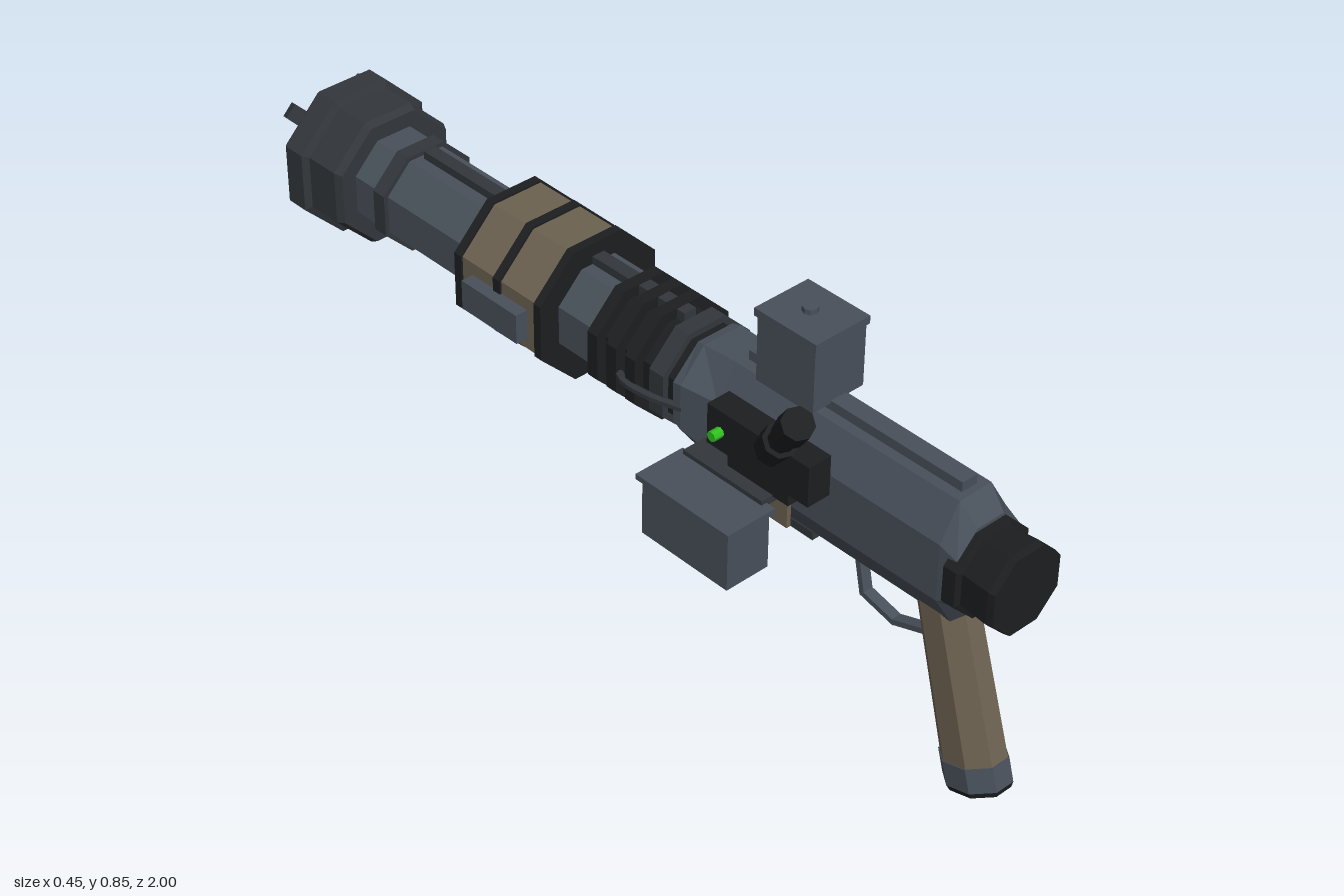
import * as THREE from 'three';

const CX = 0.047, CY = 0.56; // barrel axis
const STEEL = 0x48505a, DARK = 0x33373b, BLACK = 0x1d1e20, TAN = 0x6c6150, GREEN = 0x30c020;
const mats = {};
const mat = (c) => (mats[c] ??= new THREE.MeshStandardMaterial({ color: c, flatShading: true, side: THREE.DoubleSide }));

// Chamfered eight-sided cross-section: half width, bottom, top, chamfer in x and y
const sec = (z, hw, y0, y1, cx, cy) => [
  [hw, y0 + cy], [hw, y1 - cy], [hw - cx, y1], [cx - hw, y1],
  [-hw, y1 - cy], [-hw, y0 + cy], [cx - hw, y0], [hw - cx, y0],
].map(([x, y]) => [CX + x, y, z]);
// Regular octagon with flats up, a = distance from axis to flat
const oct = (z, a, y = CY) => sec(z, a, y - a, y + a, a * 0.586, a * 0.586);

// Skin a row of cross-sections and close both ends
function loft(sections) {
  const pos = sections.flat(2), idx = [], n = 8, last = (sections.length - 1) * n;
  for (let s = 0; s < sections.length - 1; s++)
    for (let i = 0; i < n; i++) {
      const a = s * n + i, b = s * n + (i + 1) % n;
      idx.push(a, b, b + n, a, b + n, a + n);
    }
  for (let i = 1; i < n - 1; i++) idx.push(0, i + 1, i, last, last + i, last + i + 1);
  const g = new THREE.BufferGeometry();
  g.setAttribute('position', new THREE.Float32BufferAttribute(pos, 3));
  g.setIndex(idx);
  const flat = g.toNonIndexed();
  flat.computeVertexNormals();
  return flat;
}

export function createModel() {
  const model = new THREE.Group();
  const add = (name, geo, color, parent = model) => {
    const m = new THREE.Mesh(geo, mat(color));
    m.name = name;
    parent.add(m);
    return m;
  };
  // Box from its low and high limits
  const box = (name, color, x0, x1, y0, y1, z0, z1, parent = model) => {
    const m = add(name, new THREE.BoxGeometry(x1 - x0, y1 - y0, z1 - z0), color, parent);
    m.position.set((x0 + x1) / 2, (y0 + y1) / 2, (z0 + z1) / 2);
    return m;
  };
  const prism = (name, color, z0, z1, a, y) => add(name, loft([oct(z0, a, y), oct(z1, a, y)]), color);

  // Receiver body, flaring into the barrel
  add('body', loft([
    oct(0.2, 0.108),
    sec(0.22, 0.108, 0.44, 0.672, 0.06, 0.065),
    sec(0.3, 0.088, 0.397, 0.674, 0.045, 0.075),
    sec(0.865, 0.086, 0.397, 0.674, 0.045, 0.075),
    sec(0.905, 0.082, 0.438, 0.632, 0.048, 0.05),
  ]), STEEL);
  box('bodyUnderPlate', DARK, 0, 0.094, 0.381, 0.4, 0.28, 0.52);
  box('bodyTopRail', STEEL, 0.028, 0.066, 0.67, 0.695, 0.31, 0.85);

  // Butt cap
  add('buttCap', loft([
    oct(0.88, 0.085, 0.53), oct(0.885, 0.095, 0.53), oct(0.915, 0.095, 0.53),
    oct(0.92, 0.083, 0.53), oct(0.985, 0.088, 0.53), oct(1, 0.085, 0.53),
  ]), BLACK);

  // Barrel with collars and cooling rings
  prism('barrel', STEEL, -0.78, 0, 0.104);
  prism('coolingCore', BLACK, -0.03, 0.21, 0.1);
  prism('rearCollar', DARK, 0.14, 0.178, 0.114);
  for (const z of [-0.012, 0.042, 0.095]) prism('coolingRing', BLACK, z - 0.014, z + 0.014, 0.123);
  prism('frontCollar', DARK, -0.697, -0.662, 0.114);
  box('barrelRail', DARK, 0.032, 0.062, 0.655, 0.682, -0.65, 0.13);

  // Handguard with bands and side blocks
  prism('handguard', TAN, -0.388, -0.136, 0.146);
  for (const z of [-0.382, -0.264, -0.142]) {
    const r = z === -0.264 ? [0.14, 0.151] : [0.138, 0.151];
    add('handguardBand', loft([
      oct(z - 0.01, r[0]), oct(z - 0.01, r[1]), oct(z + 0.01, r[1]), oct(z + 0.01, r[0]),
    ]), BLACK);
  }
  for (const s of [-1, 1]) {
    const x = CX + s * 0.157;
    box('handguardSideBlock', STEEL, x - 0.018, x + 0.018, 0.525, 0.592, -0.342, -0.177);
  }

  // Hollow muzzle with inner emitter and rim claws
  add('muzzle', loft([
    oct(-0.82, 0.07), oct(-0.87, 0.075), oct(-0.87, 0.1), oct(-0.938, 0.108),
    oct(-0.938, 0.152), oct(-0.928, 0.161), oct(-0.875, 0.161), oct(-0.868, 0.146),
    oct(-0.785, 0.146), oct(-0.768, 0.138), oct(-0.768, 0.1),
  ]), DARK);
  prism('innerEmitter', BLACK, -0.9, -0.8, 0.03);
  const clawShape = new THREE.Shape([[0.9, -0.03], [0.97, -0.03], [1, -0.008], [1, 0.008], [0.975, 0.022], [0.9, 0.026]]
    .map(([x, y]) => new THREE.Vector2(x, y)));
  const clawGeo = new THREE.ExtrudeGeometry(clawShape, { depth: 0.034, bevelEnabled: false });
  clawGeo.translate(0, 0, -0.017).rotateY(Math.PI / 2);
  for (let i = 0; i < 4; i++) {
    const pivot = new THREE.Group();
    pivot.name = 'muzzleClaw';
    pivot.position.set(CX, CY, 0);
    pivot.rotation.z = Math.PI / 4 + i * Math.PI / 2;
    add('claw', clawGeo, DARK, pivot).position.y = 0.132;
    model.add(pivot);
  }
  for (let i = 0; i < 4; i++) {
    const a = i * Math.PI / 2;
    const bolt = add('muzzleBolt', new THREE.CylinderGeometry(0.008, 0.008, 0.008, 8).rotateX(Math.PI / 2), STEEL);
    bolt.position.set(CX + Math.cos(a) * 0.132, CY + Math.sin(a) * 0.132, -0.94);
  }

  // Raked pistol grip
  const grip = new THREE.Group();
  grip.name = 'grip';
  grip.position.set(0.048, 0.02, 0.93);
  grip.rotation.x = -0.28;
  model.add(grip);
  const gripPart = (name, color, rTop, rBottom, y0, y1) => {
    const g = new THREE.CylinderGeometry(rTop, rBottom, y1 - y0, 8).rotateY(Math.PI / 8);
    const m = add(name, g, color, grip);
    m.scale.x = 0.78;
    m.position.y = (y0 + y1) / 2;
  };
  gripPart('gripHandle', TAN, 0.066, 0.073, 0.06, 0.41);
  gripPart('gripBase', STEEL, 0.076, 0.076, 0.012, 0.065);
  gripPart('gripFoot', BLACK, 0.076, 0.07, 0, 0.012);

  // Trigger guard, one bar per bend
  const guard = [[0.3, 0.775], [0.274, 0.7], [0.294, 0.62], [0.39, 0.6]];
  for (let i = 0; i < 3; i++) {
    const [y0, z0] = guard[i], [y1, z1] = guard[i + 1];
    const bar = add('triggerGuard', new THREE.BoxGeometry(0.024, 0.012, Math.hypot(y1 - y0, z1 - z0) + 0.008), STEEL);
    bar.position.set(0.047, (y0 + y1) / 2, (z0 + z1) / 2);
    bar.rotation.x = Math.atan2(y1 - y0, -(z1 - z0));
  }

  // Top housing, open towards the muzzle
  box('housingFront', STEEL, -0.018, 0.112, 0.69, 0.83, 0.512, 0.524);
  for (const x of [-0.018, 0.1]) box('housingSide', STEEL, x, x + 0.012, 0.69, 0.83, 0.376, 0.514);
  box('housingFloor', STEEL, -0.018, 0.112, 0.685, 0.697, 0.376, 0.52);
  box('housingLid', STEEL, -0.022, 0.116, 0.828, 0.845, 0.37, 0.529);
  box('housingCore', DARK, 0.005, 0.09, 0.695, 0.83, 0.45, 0.51);
  for (let i = 0; i < 4; i++) box('housingRung', BLACK, 0.01, 0.085, 0.712 + i * 0.029, 0.724 + i * 0.029, 0.41, 0.455);
  add('lidKnob', new THREE.CylinderGeometry(0.016, 0.016, 0.012, 8), STEEL).position.set(0.047, 0.85, 0.445);

  // Side box on its bracket
  box('sideBox', STEEL, -0.217, -0.112, 0.377, 0.505, 0.285, 0.515);
  box('sideBoxLid', STEEL, -0.225, -0.105, 0.503, 0.515, 0.275, 0.523);
  box('sideBracket', DARK, -0.118, -0.03, 0.508, 0.525, 0.29, 0.5);
  box('sideStrip', TAN, -0.05, -0.04, 0.425, 0.485, 0.3, 0.5);

  // Sight unit with angled eyepiece
  box('sightBody', BLACK, -0.101, -0.045, 0.56, 0.65, 0.335, 0.6);
  box('sightMount', BLACK, -0.09, -0.03, 0.522, 0.565, 0.38, 0.54);
  const lamp = add('sightLamp', new THREE.CylinderGeometry(0.011, 0.011, 0.024, 8).rotateZ(Math.PI / 2), GREEN);
  lamp.position.set(-0.112, 0.603, 0.37);
  const start = new THREE.Vector3(-0.085, 0.625, 0.49), end = new THREE.Vector3(-0.132, 0.765, 0.598);
  const dir = end.clone().sub(start), len = dir.length();
  const eye = new THREE.Group();
  eye.name = 'eyepiece';
  eye.position.copy(start);
  eye.quaternion.setFromUnitVectors(new THREE.Vector3(0, 1, 0), dir.normalize());
  model.add(eye);
  for (const [r, a, b] of [[0.036, 0, 0.35], [0.026, 0.35, 0.7], [0.033, 0.65, 1]])
    add('eyepieceTube', new THREE.CylinderGeometry(r, r, (b - a) * len, 8), BLACK, eye).position.y = (a + b) / 2 * len;

  // Short hose beside the cooling rings
  const hose = new THREE.CatmullRomCurve3([[-0.06, 0.04], [-0.077, 0.08], [-0.075, 0.14], [-0.05, 0.23]]
    .map(([x, z]) => new THREE.Vector3(x, 0.55, z)));
  add('hose', new THREE.TubeGeometry(hose, 10, 0.009, 6), DARK);

  return model;
}
